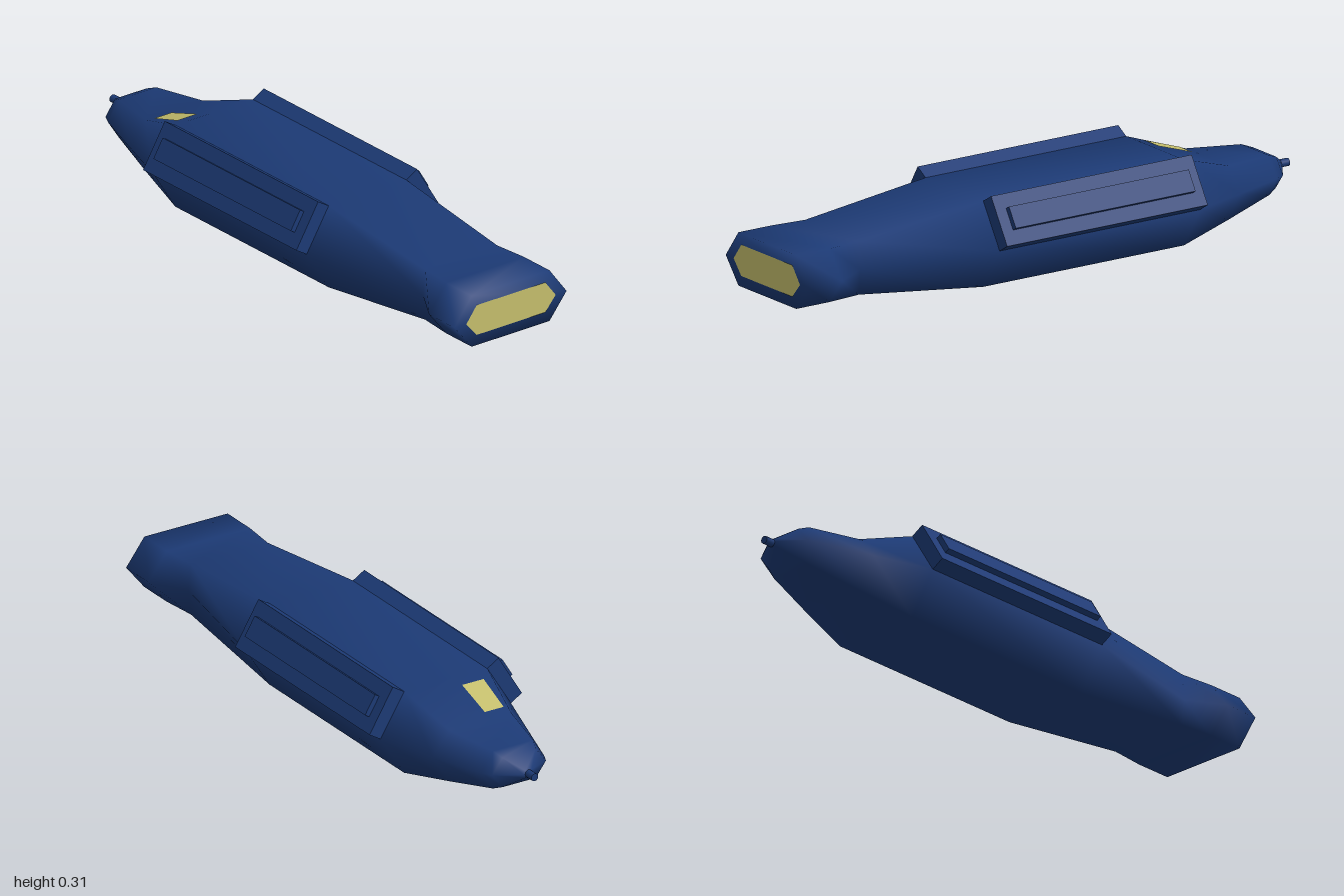
import * as THREE from 'three';

const blue = new THREE.MeshStandardMaterial({ color: 0x1c3a75 });
const yellow = new THREE.MeshStandardMaterial({ color: 0xc4be6c, side: THREE.DoubleSide });

// Six-sided cross-section, counter-clockwise seen from +z
const hexagon = (mid, flat, yMid, yTop, yBottom) => [
  [mid, yMid], [flat, yTop], [-flat, yTop], [-mid, yMid], [-flat, yBottom], [flat, yBottom],
];

// Hull stations: z, half width at the middle, half width of the flats, middle, top, bottom
const stations = [
  [-0.965, 0.018, 0.012, 0.145, 0.157, 0.133],
  [-0.91, 0.1, 0.062, 0.142, 0.193, 0.092],
  [-0.875, 0.117, 0.075, 0.14, 0.206, 0.077],
  [-0.69, 0.178, 0.115, 0.138, 0.215, 0.039],
  [-0.49, 0.243, 0.155, 0.138, 0.28, 0],
  [0.28, 0.243, 0.155, 0.138, 0.28, 0],
  [0.75, 0.152, 0.143, 0.138, 0.228, 0.054],
  [0.87, 0.223, 0.155, 0.138, 0.228, 0.054],
  [0.998, 0.223, 0.155, 0.138, 0.228, 0.054],
];

function loft() {
  const pos = [], index = [];
  for (const [z, ...dims] of stations) for (const [x, y] of hexagon(...dims)) pos.push(x, y, z);
  for (let i = 0; i < stations.length - 1; i++) {
    for (let j = 0; j < 6; j++) {
      const a = i * 6 + j, b = i * 6 + (j + 1) % 6;
      index.push(a, b, b + 6, a, b + 6, a + 6);
    }
  }
  // End caps
  const last = (stations.length - 1) * 6;
  for (let k = 1; k < 5; k++) index.push(last, last + k, last + k + 1, 0, k + 1, k);
  const geo = new THREE.BufferGeometry();
  geo.setAttribute('position', new THREE.Float32BufferAttribute(pos, 3));
  geo.setIndex(index);
  geo.computeVertexNormals();
  return geo;
}

const shapeOf = (points) => new THREE.Shape(points.map(([x, y]) => new THREE.Vector2(x, y)));

export function createModel() {
  const group = new THREE.Group();
  const add = (name, geo, material, parent = group) => {
    const mesh = new THREE.Mesh(geo, material);
    mesh.name = name;
    parent.add(mesh);
    return mesh;
  };

  add('hull', loft(), blue);

  // Glowing exhaust plate in the wide end
  add('exhaust', new THREE.ShapeGeometry(shapeOf(hexagon(0.178, 0.137, 0.138, 0.192, 0.09))), yellow)
    .position.z = 1;

  // Slanted slabs with a raised panel along both upper flanks
  for (const side of [1, -1]) {
    const pod = new THREE.Group();
    pod.name = side > 0 ? 'leftSidePod' : 'rightSidePod';
    pod.position.set(side * 0.219, 0.2215, -0.105);
    pod.rotation.z = side * 0.546;
    group.add(pod);
    add('slab', new THREE.BoxGeometry(0.05, 0.167, 0.77), blue, pod);
    add('raisedPanel', new THREE.BoxGeometry(0.04, 0.072, 0.69), blue, pod).position.x = side * 0.023;
  }

  // Single cockpit window lying on the sloped nose deck
  const deck = (z) => 0.28 + (z + 0.49) * 0.325 + 0.003;
  const corners = [[-0.115, -0.53], [-0.035, -0.53], [-0.035, -0.66], [-0.105, -0.66]];
  const windowGeo = new THREE.BufferGeometry();
  windowGeo.setAttribute('position', new THREE.Float32BufferAttribute(
    corners.flatMap(([x, z]) => [x, deck(z), z]), 3));
  windowGeo.setIndex([0, 1, 2, 0, 2, 3]);
  windowGeo.computeVertexNormals();
  add('cockpitWindow', windowGeo, yellow);

  // Short probe at the tip of the nose
  const probe = add('noseProbe', new THREE.CylinderGeometry(0.013, 0.013, 0.07, 12), blue);
  probe.rotation.x = Math.PI / 2;
  probe.position.set(0, 0.145, -0.965);

  return group;
}
